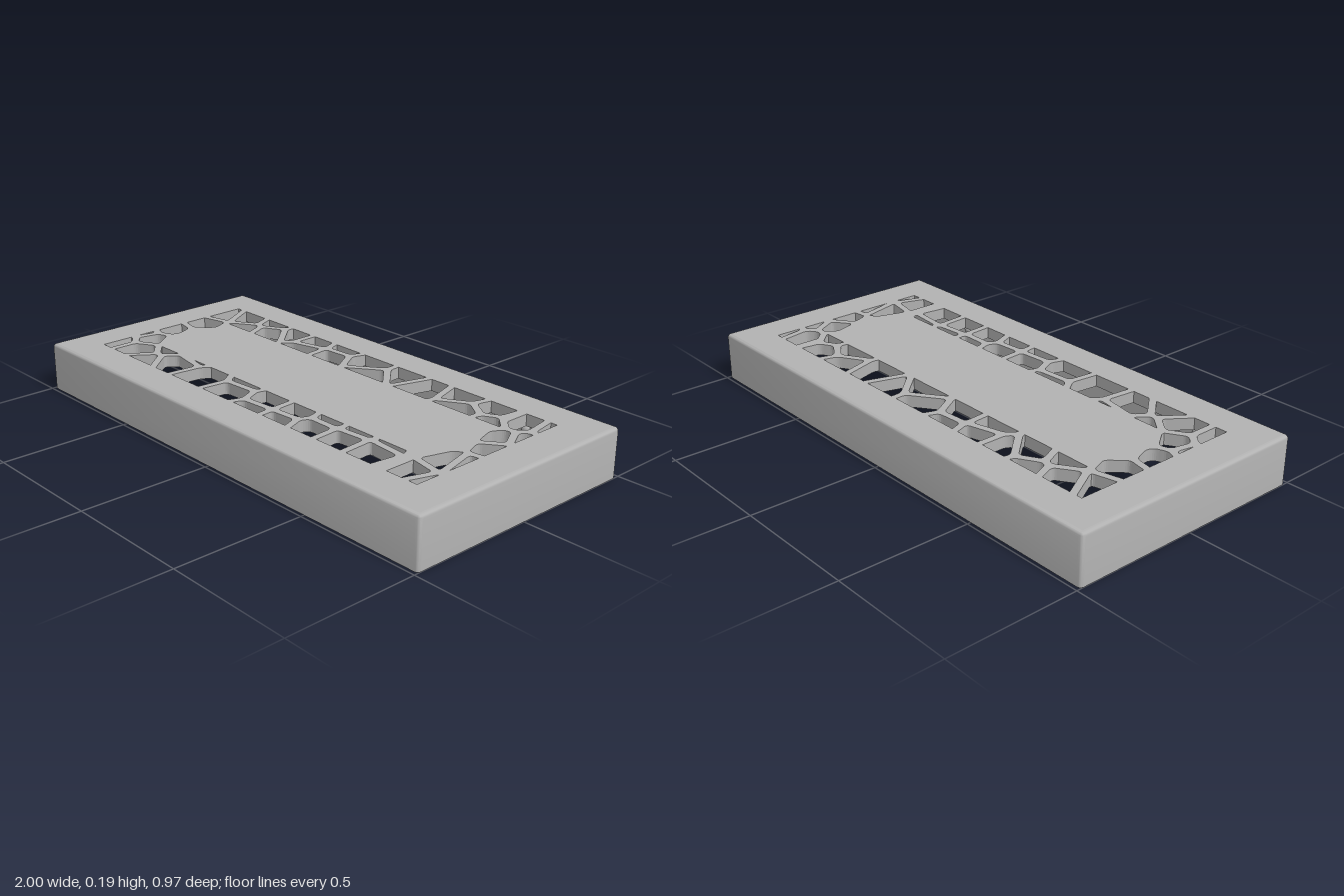
import * as THREE from 'three';
import { toCreasedNormals } from 'three/addons/utils/BufferGeometryUtils.js';

const HX = 1, HZ = 0.486, TOP = 0.188, INNER = 0.143, WALL = 0.028, ROUND = 0.015;
const SKIN = 0.173;                      // underside of the closed top skin
const FRAME_X = 0.85, FRAME_Z = 0.34;    // outer limits of the vent pattern
const BAND_Z = 0.185, BAND_X = 0.73;     // solid middle panel

// Cell centres of the vent pattern, in hundredths: x, z
const BACK = [-83, -24, -72, -30, -64, -18, -59, -35, -52, -23, -43, -31, -32, -31, -29, -20,
  -17, -36, -16, -21, -1, -30, 7, -19, 20, -31, 30, -28, 47, -33, 55, -20, 61, -29, 67, -18, 76, -27, 88, -29];
const FRONT = [-86, 26, -72, 26, -63, 15, -61, 34, -50, 25, -48, 14, -31, 27, -14, 15, -13, 29, 3, 22,
  4, 35, 17, 21, 18, 34, 31, 29, 31, 17, 44, 16, 45, 28, 60, 16, 59, 27, 75, 29, 87, 33];
const ENDS = [-80, -12, -83, 3, -88, 14, -78, 16, 78, 14, 86, 12, 84, -3, 78, -11, 87, -16];
const PANEL = [-69, -2, -68, 9, 68, -8, 69, 2, 68, 11]; // stay solid

const toPoints = (list) => {
  const out = [];
  for (let i = 0; i < list.length; i += 2) out.push(new THREE.Vector2(list[i] / 100, list[i + 1] / 100));
  return out;
};

// Keeps the part of a convex polygon where nx*x + nz*z <= d
function clip(poly, nx, nz, d) {
  const out = [];
  poly.forEach((a, i) => {
    const b = poly[(i + 1) % poly.length];
    const da = nx * a.x + nz * a.y - d, db = nx * b.x + nz * b.y - d;
    if (da <= 0) out.push(a);
    if ((da < 0 && db > 0) || (da > 0 && db < 0)) out.push(a.clone().lerp(b, da / (da - db)));
  });
  return out;
}

// Rounds every corner with a short quadratic curve
function roundCorners(poly, r) {
  const out = [];
  poly.forEach((p, i) => {
    const toward = (q) => p.clone().lerp(q, Math.min(0.45, r / Math.max(p.distanceTo(q), 1e-6)));
    const a = toward(poly[(i + poly.length - 1) % poly.length]);
    const b = toward(poly[(i + 1) % poly.length]);
    out.push(...new THREE.QuadraticBezierCurve(a, p, b).getPoints(4));
  });
  return out;
}

// Irregular vent openings: cells around each centre, shrunk, rounded and trimmed to the frame
function ventCells() {
  const open = toPoints([...BACK, ...FRONT, ...ENDS]);
  const all = [...open, ...toPoints(PANEL)];
  const cells = [];
  for (const s of open) {
    let poly = toPoints([-98, -46, 98, -46, 98, 46, -98, 46]);
    for (const o of all) {
      if (o === s) continue;
      const n = o.clone().sub(s).normalize();
      const mid = o.clone().add(s).multiplyScalar(0.5);
      poly = clip(poly, n.x, n.y, n.dot(mid) - 0.0135);
    }
    if (poly.length < 3) continue;
    poly = roundCorners(poly, 0.016);
    for (const k of [-1, 1]) {
      poly = clip(poly, k, 0, FRAME_X);
      poly = clip(poly, 0, k, FRAME_Z);
    }
    if (Math.abs(s.x) < BAND_X) poly = clip(poly, 0, -Math.sign(s.y), -BAND_Z);
    else poly = clip(poly, -Math.sign(s.x), 0, -0.72);
    poly = poly.filter((p, i) => p.distanceTo(poly[(i + 1) % poly.length]) > 1e-4);
    if (poly.length > 2 && Math.abs(THREE.ShapeUtils.area(poly)) > 0.0001) cells.push(poly);
  }
  return cells;
}

// Honeycomb pockets under the middle panel
function honeycomb() {
  const cells = [], pitch = 0.085, r = 0.036;
  for (let row = -2; row <= 2; row++) {
    for (let i = -8; i <= 8; i++) {
      const x = (i + (row % 2 ? 0.5 : 0)) * pitch;
      if (Math.abs(x) > 0.67) continue;
      const hex = [];
      for (let k = 0; k < 6; k++) {
        const a = Math.PI / 6 + k * Math.PI / 3;
        hex.push(new THREE.Vector2(x + r * Math.cos(a), row * pitch * 0.866 + r * Math.sin(a)));
      }
      cells.push(hex);
    }
  }
  return cells;
}

// Flat perforated layer between two heights
function layer(inset, y0, y1, holes) {
  const x = HX - inset, z = HZ - inset;
  const flip = (p) => new THREE.Vector2(p.x, -p.y);
  const shape = new THREE.Shape([[-x, -z], [x, -z], [x, z], [-x, z]].map(([a, b]) => new THREE.Vector2(a, b)));
  shape.holes = holes.map((h) => new THREE.Path(h.map(flip)));
  const geo = new THREE.ExtrudeGeometry(shape, { depth: y1 - y0, bevelEnabled: false });
  return geo.rotateX(-Math.PI / 2).translate(0, y0, 0);
}

// Rim walls: a cross-section of [inset, height] swept round a rounded rectangle
function rimGeometry() {
  const profile = [[WALL, INNER], [WALL, 0], [0, 0]];
  for (let k = 0; k <= 5; k++) {
    const a = (k / 5) * Math.PI / 2;
    profile.push([ROUND * (1 - Math.cos(a)), TOP - ROUND + ROUND * Math.sin(a)]);
  }
  const pos = [], index = [], seg = 5, n = 4 * (seg + 1);
  for (const [inset, y] of profile) {
    const r = Math.max(ROUND - inset, 0.0005);
    for (let c = 0; c < 4; c++) {
      const sx = c === 0 || c === 3 ? 1 : -1, sz = c < 2 ? 1 : -1;
      for (let k = 0; k <= seg; k++) {
        const a = (c + k / seg) * Math.PI / 2;
        pos.push(sx * (HX - inset - r) + r * Math.cos(a), y, sz * (HZ - inset - r) + r * Math.sin(a));
      }
    }
  }
  for (let j = 0; j < profile.length - 1; j++) {
    for (let k = 0; k < n; k++) {
      const a = j * n + k, b = j * n + (k + 1) % n;
      index.push(a, a + n, b, b, a + n, b + n);
    }
  }
  const geo = new THREE.BufferGeometry();
  geo.setAttribute('position', new THREE.Float32BufferAttribute(pos, 3));
  geo.setIndex(index);
  return toCreasedNormals(geo, 0.6);
}

export function createModel() {
  const group = new THREE.Group();
  group.name = 'ventedCover';
  const grey = new THREE.MeshStandardMaterial({ color: 0xb2b2b2 });
  grey.name = 'grey';
  const add = (geo, name) => {
    const mesh = new THREE.Mesh(geo, grey);
    mesh.name = name;
    group.add(mesh);
    return mesh;
  };

  const vents = ventCells();
  add(rimGeometry(), 'rim');
  add(layer(ROUND, SKIN, TOP, vents), 'topSkin');
  add(layer(WALL, INNER, SKIN, [...vents, ...honeycomb()]), 'honeycombLayer');

  // Snap bumps on the inside of the long walls
  for (const sx of [-1, 1]) {
    for (const sz of [-1, 1]) {
      add(new THREE.SphereGeometry(0.018, 16, 12), 'snapBump')
        .position.set(sx * 0.63, 0.072, sz * (HZ - WALL));
    }
  }
  return group;
}
